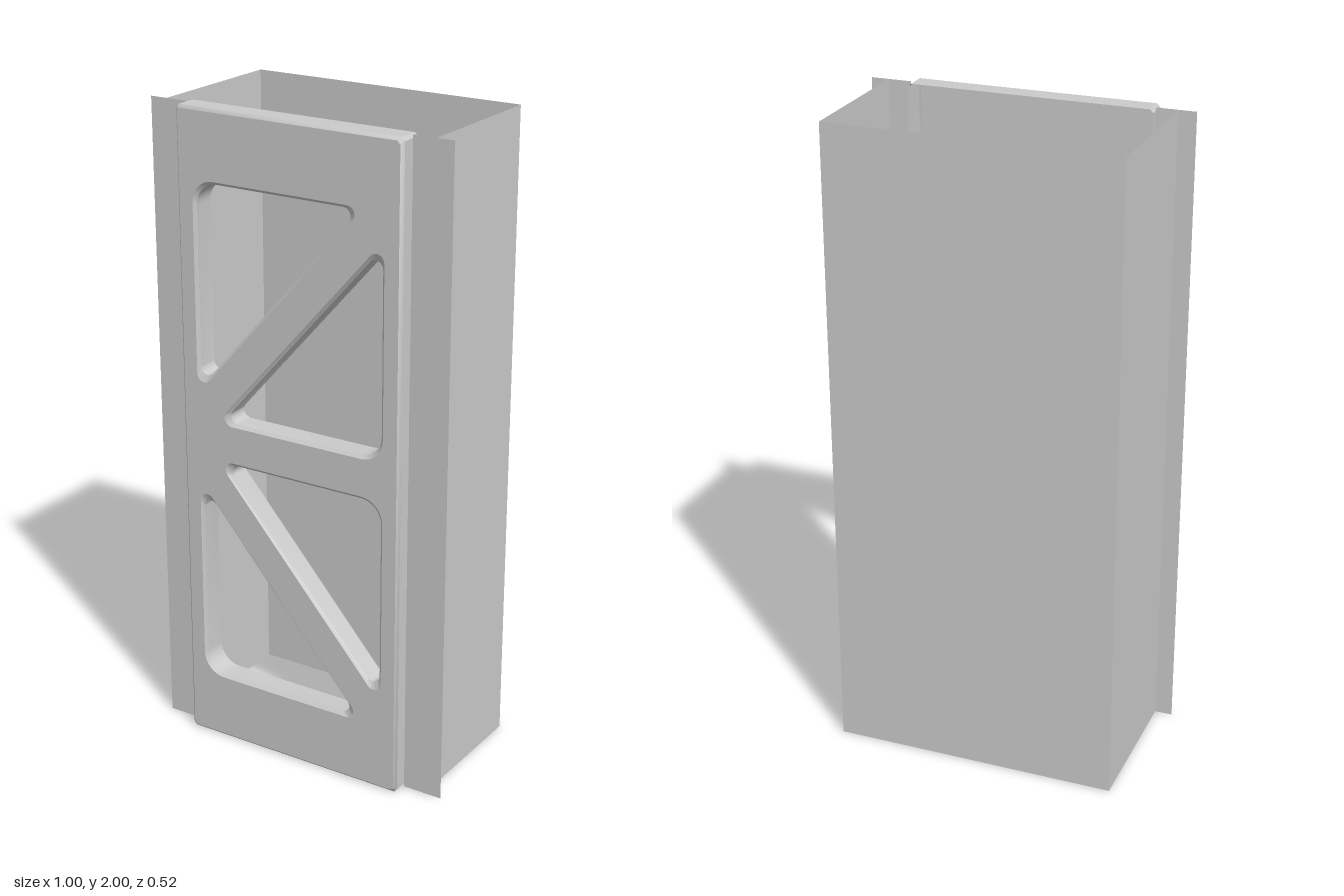
import * as THREE from 'three';
import { toCreasedNormals } from 'three/addons/utils/BufferGeometryUtils.js';

const H = 2;                                  // overall height
const Z_FRONT = 0.26, Z_CHAMFER = 0.251, Z_LIP = 0.185, Z_FLANGE = 0.21, Z_BACK = -0.26;

// Surface joining successive rows of 3D points, rows optionally closed into loops
function skin(rows, closed) {
  const pos = [];
  for (let r = 0; r < rows.length - 1; r++) {
    const a = rows[r], b = rows[r + 1], n = a.length;
    for (let i = 0; i < (closed ? n : n - 1); i++) {
      const j = (i + 1) % n;
      for (const p of [a[i], a[j], b[j], a[i], b[j], b[i]]) pos.push(p.x, p.y, p.z);
    }
  }
  const g = new THREE.BufferGeometry();
  g.setAttribute('position', new THREE.Float32BufferAttribute(pos, 3));
  return toCreasedNormals(g, 0.6);
}

const atZ = (pts, z) => pts.map(p => new THREE.Vector3(p.x, p.y, z));

// Circular fillet of radius r at corner v between neighbours p and q
function fillet(p, v, q, r, steps = 8) {
  const u = p.clone().sub(v).normalize(), w = q.clone().sub(v).normalize();
  const half = Math.acos(u.dot(w)) / 2;
  const c = u.clone().add(w).normalize().multiplyScalar(r / Math.sin(half)).add(v);
  const start = u.multiplyScalar(r / Math.tan(half)).add(v).sub(c);
  const end = w.multiplyScalar(r / Math.tan(half)).add(v).sub(c);
  const sweep = Math.sign(start.cross(end)) * (Math.PI - 2 * half);
  return Array.from({ length: steps + 1 }, (_, i) =>
    start.clone().rotateAround(new THREE.Vector2(), sweep * i / steps).add(c));
}

// Rounded right triangle: square corner (x, y), legs pointing along sx and sy
function triangle(x, y, sx, sy, inset) {
  const a = 0.565, b = 0.64, rin = (a + b - Math.hypot(a, b)) / 2;
  const k = 1 - inset / rin, centre = new THREE.Vector2(x + sx * rin, y + sy * rin);
  const v = [[x, y], [x + sx * a, y], [x, y + sy * b]]
    .map(([px, py]) => new THREE.Vector2(px, py).sub(centre).multiplyScalar(k).add(centre));
  const radii = [0.07, 0.025, 0.025];
  return v.flatMap((p, i) => fillet(v[(i + 2) % 3], p, v[(i + 1) % 3], radii[i] * k));
}

// Panel outline with chamfered corners
function outline(inset) {
  const x0 = -0.38 + inset, x1 = 0.373 - inset, y0 = inset, y1 = H - inset, c = 0.01;
  return [[x0 + c, y0], [x1 - c, y0], [x1, y0 + c], [x1, y1 - c],
    [x1 - c, y1], [x0 + c, y1], [x0, y1 - c], [x0, y0 + c]]
    .map(([x, y]) => new THREE.Vector2(x, y));
}

export function createModel() {
  const model = new THREE.Group();
  const material = new THREE.MeshStandardMaterial({ color: 0xcccccc, side: THREE.DoubleSide });
  const add = (name, geometry, parent = model) => {
    const mesh = new THREE.Mesh(geometry, material);
    mesh.name = name;
    parent.add(mesh);
    return mesh;
  };
  const upright = path => skin([0, H].map(y => path.map(([x, z]) => new THREE.Vector3(x, y, z))), false);

  // Open-ended sheet channel: back wall and two side walls
  const W = 0.445;
  add('channelWalls', upright([[-W, Z_FLANGE], [-W, Z_BACK], [W, Z_BACK], [W, Z_FLANGE]]));

  // Flat flanges on either side of the front panel
  add('leftFlange', upright([[0.373, Z_FLANGE], [0.5, Z_FLANGE]]));
  add('rightFlange', upright([[-0.5, Z_FLANGE], [-0.38, Z_FLANGE]]));

  // Front panel: a shallow tray with four triangular cut-outs
  const panel = new THREE.Group();
  panel.name = 'frontPanel';
  model.add(panel);

  const cutouts = [[-0.321, 1.788, 1, -1], [0.314, 1.062, -1, 1],
    [0.314, 0.938, -1, -1], [-0.321, 0.212, 1, 1]];
  const face = new THREE.Shape(outline(0.009));
  for (const t of cutouts) {
    const rim = triangle(...t, -0.004), wall = triangle(...t, 0.005);
    face.holes.push(new THREE.Path(rim));
    // Bevelled collar folded back around the cut-out
    add('cutoutCollar', skin([atZ(rim, Z_FRONT), atZ(wall, Z_CHAMFER), atZ(wall, Z_LIP)], true), panel);
  }
  add('panelFace', new THREE.ShapeGeometry(face), panel).position.z = Z_FRONT;

  // Chamfered edge and return lip around the panel
  add('panelLip', skin([atZ(outline(0.009), Z_FRONT), atZ(outline(0), Z_CHAMFER),
    atZ(outline(0), Z_LIP)], true), panel);

  return model;
}
